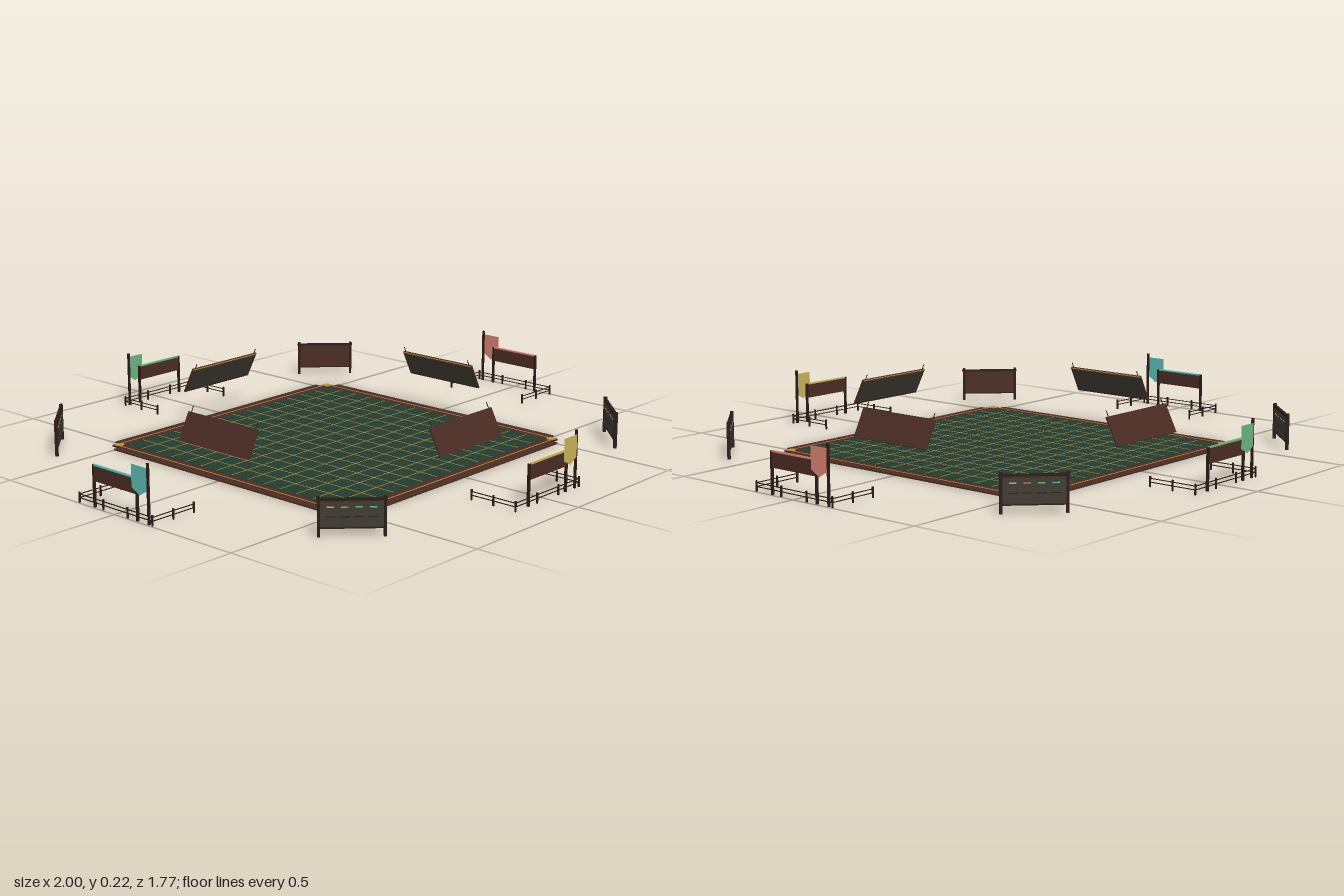
import * as THREE from 'three';

const material = (name, color, side = THREE.FrontSide) => {
  const m = new THREE.MeshStandardMaterial({ color, side });
  m.name = name;
  return m;
};

export function createModel() {
  const brown = material('walnut', 0x4a2c23);
  const dark = material('darkWood', 0x2b1b16);
  const felt = material('greenFelt', 0x233b2f);
  const gold = material('gold', 0xb98f3c);
  const screen = material('screen', 0x3f3c33);
  const banners = [
    material('yellowBanner', 0xc9b05c, THREE.DoubleSide),
    material('coralBanner', 0xd88272, THREE.DoubleSide),
    material('greenBanner', 0x6cb27f, THREE.DoubleSide),
    material('tealBanner', 0x5cbcb6, THREE.DoubleSide),
  ];

  const group = (parent, name) => {
    const g = new THREE.Group();
    g.name = name;
    parent.add(g);
    return g;
  };
  const add = (parent, name, geometry, mat, x, y, z) => {
    const mesh = new THREE.Mesh(geometry, mat);
    mesh.name = name;
    mesh.position.set(x, y, z);
    parent.add(mesh);
    return mesh;
  };
  const box = (parent, name, mat, w, h, d, x, y, z) =>
    add(parent, name, new THREE.BoxGeometry(w, h, d), mat, x, y, z);

  const model = new THREE.Group();
  model.name = 'boardArena';

  // Board with felt top and grid
  const board = group(model, 'board');
  box(board, 'boardBase', dark, 1.07, 0.003, 1.07, 0, 0.0015, 0);
  box(board, 'boardRim', brown, 1.07, 0.003, 1.07, 0, 0.0045, 0);
  box(board, 'feltTop', felt, 1, 0.001, 1, 0, 0.0065, 0);
  for (let k = -6; k <= 6; k++) {
    box(board, 'gridLineZ', gold, 0.003, 0.0006, 1, k / 14, 0.0073, 0);
    box(board, 'gridLineX', gold, 1, 0.0006, 0.003, 0, 0.0072, k / 14);
  }
  for (const x of [-0.519, 0.519]) for (const z of [-0.519, 0.519]) {
    add(board, 'cornerStud', new THREE.CylinderGeometry(0.017, 0.017, 0.002, 8), gold, x, 0.007, z);
  }

  // Pointed banner hanging beside a pole
  const bannerShape = new THREE.Shape([
    [0.078, 0.178], [0.145, 0.178], [0.145, 0.105], [0.113, 0.085], [0.078, 0.105],
  ].map(([x, y]) => new THREE.Vector2(x, y)));
  const bannerGeometry = new THREE.ShapeGeometry(bannerShape);

  const buildEdge = (side) => {
    // Outer ledge and gold inlay
    box(side, 'edgeLedge', brown, 1, 0.005, 0.025, 0, 0.0025, 0.5475);
    box(side, 'rimInlay', gold, 1.05, 0.0008, 0.004, 0, 0.0064, 0.527);

    // Leaning display panel, screen towards the board
    const panel = group(side, 'leaningPanel');
    panel.position.set(0, 0.152, 0.557);
    panel.rotation.x = -0.47;
    box(panel, 'panelBack', brown, 0.314, 0.1, 0.006, 0, 0, 0);
    box(panel, 'panelScreen', screen, 0.3, 0.086, 0.001, 0, 0, -0.0035);
    box(panel, 'panelTrim', gold, 0.314, 0.003, 0.002, 0, 0.0485, -0.004);
    for (const x of [-0.145, 0.145]) box(panel, 'panelPin', dark, 0.002, 0.022, 0.002, x, 0.06, 0);
  };

  const buildGate = (gate, banner) => {
    // Sign on two posts
    box(gate, 'signPanel', brown, 0.2, 0.05, 0.006, 0, 0.11, 0);
    box(gate, 'signTrim', banner, 0.2, 0.005, 0.007, 0, 0.136, 0);
    for (const x of [-0.097, 0.097]) box(gate, 'signPost', dark, 0.007, 0.138, 0.008, x, 0.069, 0);
    // Banner pole
    box(gate, 'bannerPole', dark, 0.007, 0.192, 0.007, 0.147, 0.096, 0);
    add(gate, 'banner', bannerGeometry, banner, 0, 0, 0.0045);

    // Low railing around three sides
    for (const y of [0.016, 0.028]) {
      box(gate, 'frontRail', dark, 0.33, 0.0025, 0.0025, 0, y, 0.003);
      for (const x of [-0.165, 0.165]) box(gate, 'sideRail', dark, 0.0025, 0.0025, 0.17, x, y, -0.082);
    }
    for (const x of [-0.165, -0.055, 0.055, 0.165]) box(gate, 'railPost', dark, 0.005, 0.035, 0.005, x, 0.0175, 0.003);
    for (const x of [-0.165, 0.165]) for (const z of [-0.082, -0.167]) {
      box(gate, 'railPost', dark, 0.005, 0.035, 0.005, x, 0.0175, z);
    }
  };

  // Four sides: front, left, back, right
  for (let i = 0; i < 4; i++) {
    const side = group(model, 'boardSide');
    side.rotation.y = i * Math.PI / 2;
    buildEdge(side);
    const gate = group(side, 'gate');
    gate.position.z = i % 2 ? 0.992 : 0.881;
    buildGate(gate, banners[i]);
  }

  // Diagonal score boards beyond the corners, all facing along one diagonal pair
  for (let i = 0; i < 4; i++) {
    const angle = Math.PI / 4 + i * Math.PI / 2;
    const sign = group(model, 'scoreBoard');
    sign.position.set(0.661 * Math.SQRT2 * Math.sin(angle), 0, 0.661 * Math.SQRT2 * Math.cos(angle));
    sign.rotation.y = angle + (i % 2 ? 0 : Math.PI);
    box(sign, 'scorePanel', brown, 0.196, 0.085, 0.007, 0, 0.069, 0);
    box(sign, 'scoreScreen', screen, 0.188, 0.075, 0.001, 0, 0.069, 0.004);
    box(sign, 'topBar', dark, 0.21, 0.007, 0.011, 0, 0.115, 0);
    box(sign, 'bottomBar', dark, 0.2, 0.004, 0.009, 0, 0.027, 0);
    for (const x of [-0.098, 0.098]) box(sign, 'scorePost', dark, 0.009, 0.124, 0.011, x, 0.062, 0);
    // Rows of small score marks
    for (let c = 0; c < 4; c++) {
      box(sign, 'scoreMark', banners[c], 0.022, 0.004, 0.001, -0.063 + c * 0.042, 0.092, 0.005);
      box(sign, 'scoreLine', dark, 0.03, 0.003, 0.001, -0.063 + c * 0.042, 0.062, 0.005);
    }
  }
  return model;
}
